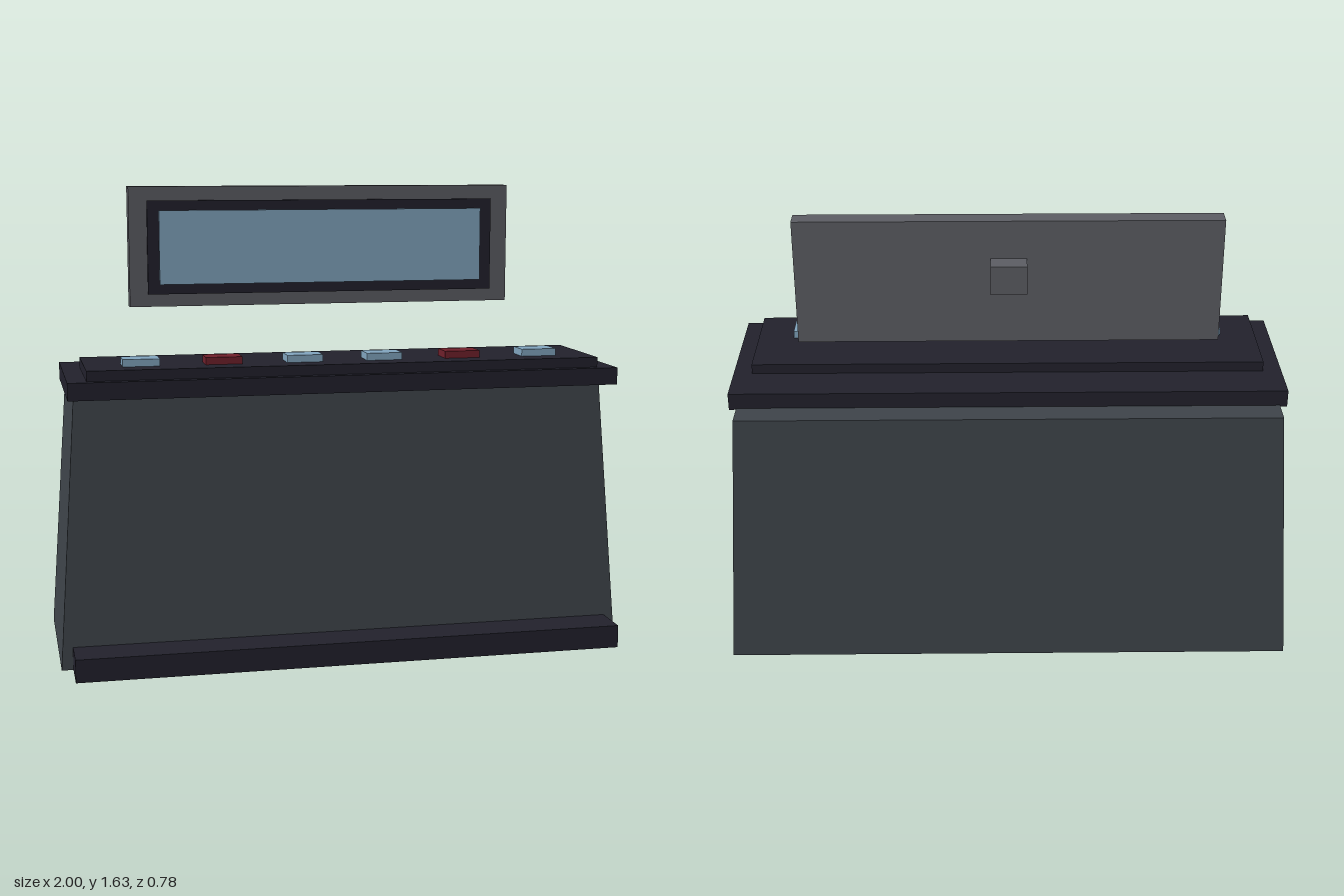
import * as THREE from 'three';

const paint = (name, color) => {
  const m = new THREE.MeshStandardMaterial({ color });
  m.name = name;
  return m;
};

export function createModel() {
  const slate = paint('slate body', 0x3e444a);
  const dark = paint('dark trim', 0x22212c);
  const grey = paint('grey metal', 0x5d5e64);
  const blue = paint('pale blue', 0x82a6c0);
  const red = paint('dark red', 0x70202b);

  const model = new THREE.Group();
  model.name = 'controlConsole';

  // Box given by its limits on each axis
  const box = (name, mat, [x0, x1], [y0, y1], [z0, z1]) => {
    const geo = new THREE.BoxGeometry(x1 - x0, y1 - y0, z1 - z0);
    geo.translate((x0 + x1) / 2, (y0 + y1) / 2, (z0 + z1) / 2);
    const mesh = new THREE.Mesh(geo, mat);
    mesh.name = name;
    model.add(mesh);
    return mesh;
  };

  // Cabinet, narrowing towards the top
  const cabinet = box('cabinet', slate, [-1, 1], [0.002, 0.945], [-0.39, 0.25]);
  const pos = cabinet.geometry.attributes.position;
  for (let i = 0; i < pos.count; i++) {
    if (pos.getY(i) < 0.5) continue;
    pos.setX(i, Math.sign(pos.getX(i)) * 0.935);
    pos.setZ(i, pos.getZ(i) > 0 ? 0.2 : -0.34);
  }
  cabinet.geometry.computeVertexNormals();

  // Foot plate, worktop and raised control panel
  box('footPlate', dark, [-0.96, 0.96], [0, 0.08], [-0.25, 0.39]);
  box('worktop', dark, [-0.96, 0.96], [0.94, 1.0], [-0.25, 0.315]);
  box('controlPanel', dark, [-0.895, 0.895], [0.99, 1.035], [-0.097, 0.287]);

  // Row of buttons, every third one red
  for (let i = 0; i < 6; i++) {
    const x = (i - 2.5) * 0.282;
    box('button' + (i + 1), i % 3 === 1 ? red : blue,
      [x - 0.063, x + 0.063], [1.03, 1.06], [0.115, 0.205]);
  }

  // Floating display with bezel, screen and rear mount
  box('displayFrame', grey, [-0.705, 0.705], [1.2, 1.63], [-0.255, -0.19]);
  box('displayBezel', dark, [-0.64, 0.64], [1.245, 1.58], [-0.2, -0.178]);
  box('displayScreen', blue, [-0.598, 0.598], [1.28, 1.545], [-0.18, -0.172]);
  box('displayMount', grey, [-0.06, 0.06], [1.4, 1.5], [-0.325, -0.25]);

  return model;
}
